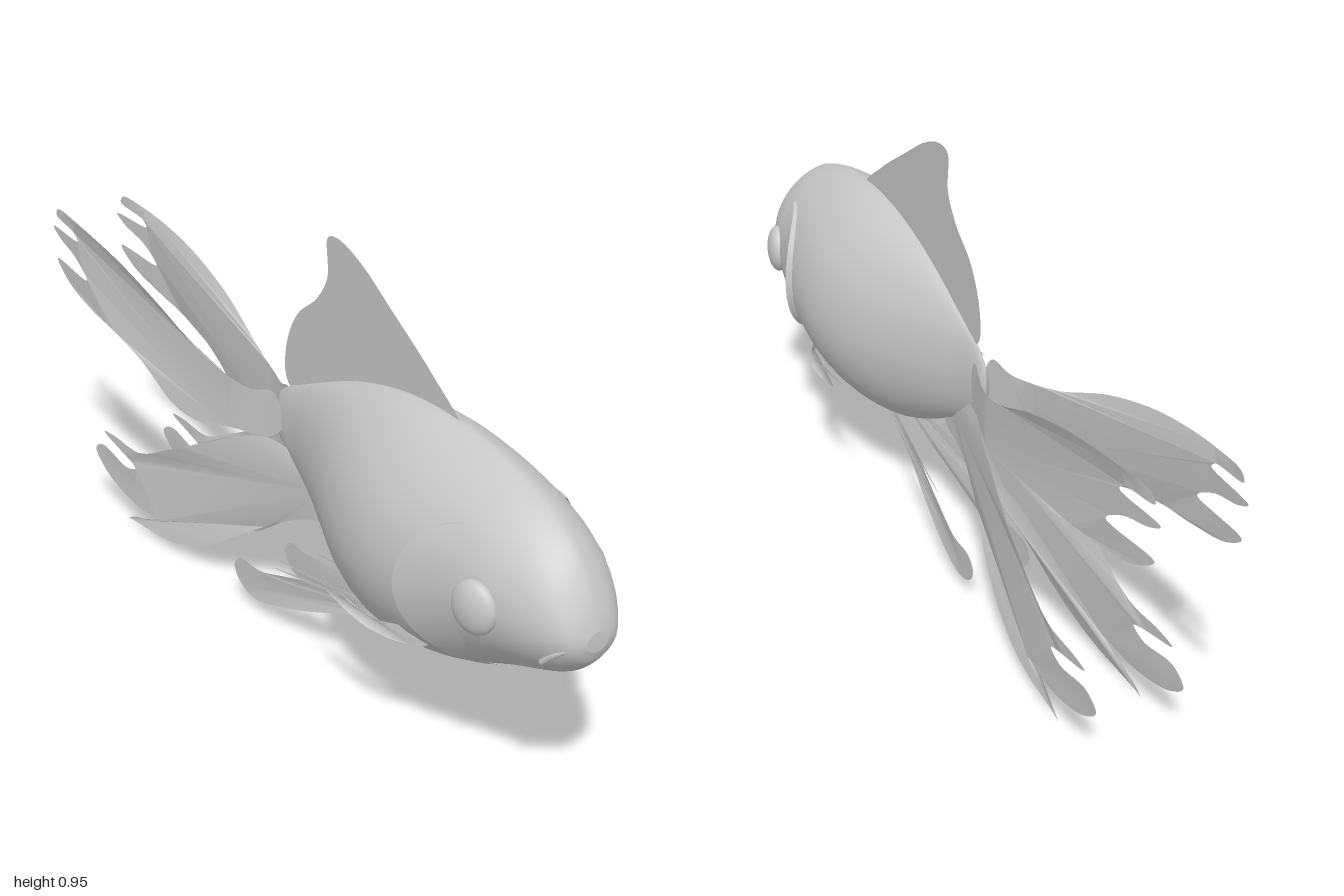
import * as THREE from 'three';
import { mergeVertices } from 'three/addons/utils/BufferGeometryUtils.js';

const skin = new THREE.MeshStandardMaterial({ color: 0xc8c8c8, side: THREE.DoubleSide });
skin.name = 'fish skin';

// Smooth lookup in rows [z, a, b, ...] sorted by falling z
function lookup(rows, z) {
  const last = rows.length - 1;
  z = Math.min(rows[0][0], Math.max(rows[last][0], z));
  let i = 0;
  while (i < last - 1 && z < rows[i + 1][0]) i++;
  const a = rows[i], b = rows[i + 1], p = rows[Math.max(0, i - 1)], n = rows[Math.min(last, i + 2)];
  const h = b[0] - a[0], t = (z - a[0]) / h;
  return a.slice(1).map((_, k) => {
    const c = k + 1;
    const ma = (b[c] - p[c]) / (b[0] - p[0]) * h, mb = (n[c] - a[c]) / (n[0] - a[0]) * h;
    return (2 * t ** 3 - 3 * t * t + 1) * a[c] + (t ** 3 - 2 * t * t + t) * ma
      + (3 * t * t - 2 * t ** 3) * b[c] + (t ** 3 - t * t) * mb;
  });
}

// Body stations: z, back height, belly height, half width
const BODY = [
  [1, 0.46, 0.42, 0.025], [0.99, 0.495, 0.395, 0.052], [0.965, 0.545, 0.368, 0.076],
  [0.93, 0.592, 0.345, 0.098], [0.88, 0.63, 0.325, 0.12], [0.8, 0.667, 0.295, 0.143],
  [0.7, 0.695, 0.25, 0.161], [0.6, 0.71, 0.217, 0.176], [0.5, 0.716, 0.2, 0.18],
  [0.4, 0.71, 0.2, 0.166], [0.3, 0.692, 0.22, 0.136], [0.2, 0.664, 0.262, 0.096],
  [0.1, 0.625, 0.315, 0.057], [0, 0.582, 0.37, 0.025], [-0.06, 0.556, 0.405, 0.015],
  [-0.09, 0.53, 0.435, 0.009]];

// Half width of the body at a given height and z
function bodyX(y, z) {
  const [top, bot, w] = lookup(BODY, z);
  const mid = bot + 0.466 * (top - bot);
  const t = y > mid ? (y - mid) / (top - mid) : (mid - y) / (mid - bot);
  return w * Math.max(0, 1 - t * t) ** (y > mid ? 0.68 : 0.6);
}

// Surface from a grid of cross-section points
function grid(nu, nv, point) {
  const pos = [], index = [];
  for (let i = 0; i <= nu; i++) for (let j = 0; j <= nv; j++) pos.push(...point(i / nu, j / nv));
  for (let i = 0; i < nu; i++) for (let j = 0; j < nv; j++) {
    const a = i * (nv + 1) + j, b = a + nv + 1;
    index.push(a, a + 1, b, b, a + 1, b + 1);
  }
  let g = new THREE.BufferGeometry();
  g.setAttribute('position', new THREE.Float32BufferAttribute(pos, 3));
  g.setIndex(index);
  g = mergeVertices(g, 1e-5);
  g.computeVertexNormals();
  return g;
}

// Fin sheet: closed outline of [z, y] points, bent sideways by xAt(z, y)
function finGeometry(outline, xAt, samples = 160) {
  const curve = new THREE.CatmullRomCurve3(outline.map(([z, y]) => new THREE.Vector3(z, y, 0)), true);
  const pts = curve.getPoints(samples).slice(0, -1).map(p => new THREE.Vector2(p.x, p.y));
  const g = new THREE.ShapeGeometry(new THREE.Shape(pts));
  const p = g.attributes.position;
  for (let i = 0; i < p.count; i++) {
    const z = p.getX(i), y = p.getY(i);
    p.setXYZ(i, xAt(z, y), y, z);
  }
  g.computeVertexNormals();
  return g;
}

// Slender pointed fin ray
function ray(z0, y0, z1, y1, r) {
  const zm = (z0 + z1) / 2, ym = (y0 + y1) / 2;
  return [[z0, y0], [zm, ym + r], [z1, y1], [zm, ym - r]];
}

const DORSAL = [
  [0.57, 0.7], [0.47, 0.778], [0.33, 0.864], [0.22, 0.928], [0.14, 0.954], [0.1, 0.945],
  [0.1, 0.86], [0.06, 0.8], [-0.015, 0.74], [-0.058, 0.66], [-0.06, 0.58], [-0.02, 0.555],
  [0.14, 0.62], [0.25, 0.66], [0.41, 0.69]];
const TAIL_UPPER = [
  [-0.08, 0.54], [-0.145, 0.528], [-0.285, 0.555], [-0.47, 0.63], [-0.66, 0.685], [-0.87, 0.715],
  [-0.965, 0.716], [-0.975, 0.7], [-0.87, 0.682], [-0.855, 0.668], [-0.995, 0.665], [-0.96, 0.645],
  [-0.87, 0.62], [-0.81, 0.582], [-0.98, 0.585], [-0.92, 0.545], [-0.79, 0.512], [-0.69, 0.496],
  [-0.55, 0.46], [-0.42, 0.4], [-0.33, 0.39], [-0.2, 0.416], [-0.1, 0.427], [-0.05, 0.47]];
const TAIL_LOWER = [
  [0.12, 0.33], [0.1, 0.295], [0.04, 0.277], [-0.07, 0.224], [-0.18, 0.155], [-0.31, 0.075],
  [-0.445, 0.03], [-0.64, 0.012], [-0.65, 0.004], [-0.62, 0.025], [-0.53, 0.052], [-0.49, 0.068],
  [-0.6, 0.064], [-0.74, 0.096], [-0.8, 0.14], [-0.76, 0.165], [-0.64, 0.15], [-0.6, 0.165],
  [-0.75, 0.205], [-0.7, 0.212], [-0.58, 0.213], [-0.445, 0.272], [-0.31, 0.34], [-0.2, 0.395],
  [-0.1, 0.425], [0, 0.41], [0.08, 0.36]];
const PELVIC = [
  [0.42, 0.215], [0.3, 0.19], [0.145, 0.176], [0.01, 0.139], [-0.07, 0.117], [-0.155, 0.112],
  [-0.177, 0.085], [-0.155, 0.053], [-0.1, 0.037], [0.01, 0.059], [0.2, 0.128], [0.33, 0.18]];
const PECTORAL = [
  [0.63, 0.31], [0.6, 0.318], [0.52, 0.312], [0.44, 0.33], [0.29, 0.343], [0.4, 0.326],
  [0.47, 0.315], [0.35, 0.311], [0.44, 0.294], [0.6, 0.278], [0.63, 0.285]];

// Sideways sweep of each paired fin: z, x
const TAIL_X = [[0.12, 0.004], [0, 0.008], [-0.1, 0.025], [-0.2, 0.052], [-0.4, 0.081],
  [-0.6, 0.093], [-0.8, 0.096], [-1, 0.088]];
const PELVIC_X = [[0.42, 0.012], [0.3, 0.026], [0.1, 0.052], [-0.05, 0.065], [-0.18, 0.068]];
const PECTORAL_X = [[0.63, 0.11], [0.6, 0.13], [0.56, 0.152], [0.5, 0.172], [0.4, 0.177], [0.28, 0.178]];

export function createModel() {
  const fish = new THREE.Group();
  fish.name = 'fish';
  const add = (name, geometry, parent = fish) => {
    const m = new THREE.Mesh(geometry, skin);
    m.name = name;
    parent.add(m);
    return m;
  };

  // Body, closed at snout and tail stem
  add('body', grid(72, 48, (u, v) => {
    const e = Math.min(1, Math.max(0, (u - 0.02) / 0.96));
    const z = 1 - 1.09 * e ** 1.5;
    const [top, bot] = lookup(BODY, z);
    const mid = bot + 0.466 * (top - bot);
    if (u === 0 || u === 1) return [0, mid, z];
    const a = v * Math.PI * 2, s = -Math.cos(a);
    const y = mid + s * (s > 0 ? top - mid : mid - bot);
    const x = v === 0 || v === 1 ? 0 : Math.sign(Math.sin(a)) * bodyX(y, z);
    return [x, y, z];
  }));

  // Upper lip, a downturned ridge round the snout
  const lip = [[-0.076, 0.39, 0.935], [-0.066, 0.418, 0.965], [-0.045, 0.432, 0.985], [0, 0.436, 0.994],
    [0.045, 0.432, 0.985], [0.066, 0.418, 0.965], [0.076, 0.39, 0.935]];
  add('upperLip', new THREE.TubeGeometry(
    new THREE.CatmullRomCurve3(lip.map(p => new THREE.Vector3(...p))), 40, 0.006, 8));

  add('dorsalFin', finGeometry(DORSAL, () => 0));

  for (const [side, s] of [['left', 1], ['right', -1]]) {
    const half = new THREE.Group();
    half.name = side + 'Side';
    fish.add(half);

    // Bulging eye
    const eye = add(side + 'Eye', new THREE.SphereGeometry(1, 32, 20), half);
    eye.scale.set(0.026, 0.056, 0.052);
    eye.position.set(s * 0.138, 0.464, 0.81);
    eye.rotation.y = -s * 0.25;

    // Gill cover, lifted from the body towards its rear edge
    const gill = (r, v, lift) => {
      const a = (v - 0.5) * Math.PI;
      const z = 0.76 - 0.142 * r * Math.cos(a), y = 0.442 + 0.16 * r * Math.sin(a);
      return [s * (bodyX(y, z) + lift), y, z];
    };
    const flare = v => 0.006 + 0.01 * Math.sin(v * Math.PI);
    add(side + 'GillCover', grid(14, 32, (u, v) => gill(u, v, flare(v) * u * u)), half);
    add(side + 'GillRim', grid(1, 32, (u, v) => gill(1, v, u ? -0.004 : flare(v))), half);

    // Paired fins
    const sweep = (rows, extra = 0) => z => s * (lookup(rows, z)[0] + extra);
    add(side + 'UpperTailFin', finGeometry(TAIL_UPPER, sweep(TAIL_X), 220), half);
    add(side + 'LowerTailFin', finGeometry(TAIL_LOWER, sweep(TAIL_X), 220), half);
    add(side + 'PelvicFin', finGeometry(PELVIC, sweep(PELVIC_X)), half);
    add(side + 'PectoralFin', finGeometry(PECTORAL, sweep(PECTORAL_X)), half);

    // Loose rays above the pelvic fin
    [[0.01, 0.18], [0, 0.157], [0.08, 0.187], [-0.06, 0.125]].forEach(([z, y], i) =>
      add(side + 'PelvicRay' + (i + 1),
        finGeometry(ray(0.38, 0.21, z, y, 0.004), sweep(PELVIC_X, 0.004 + 0.003 * i), 40), half));
  }
  return fish;
}
